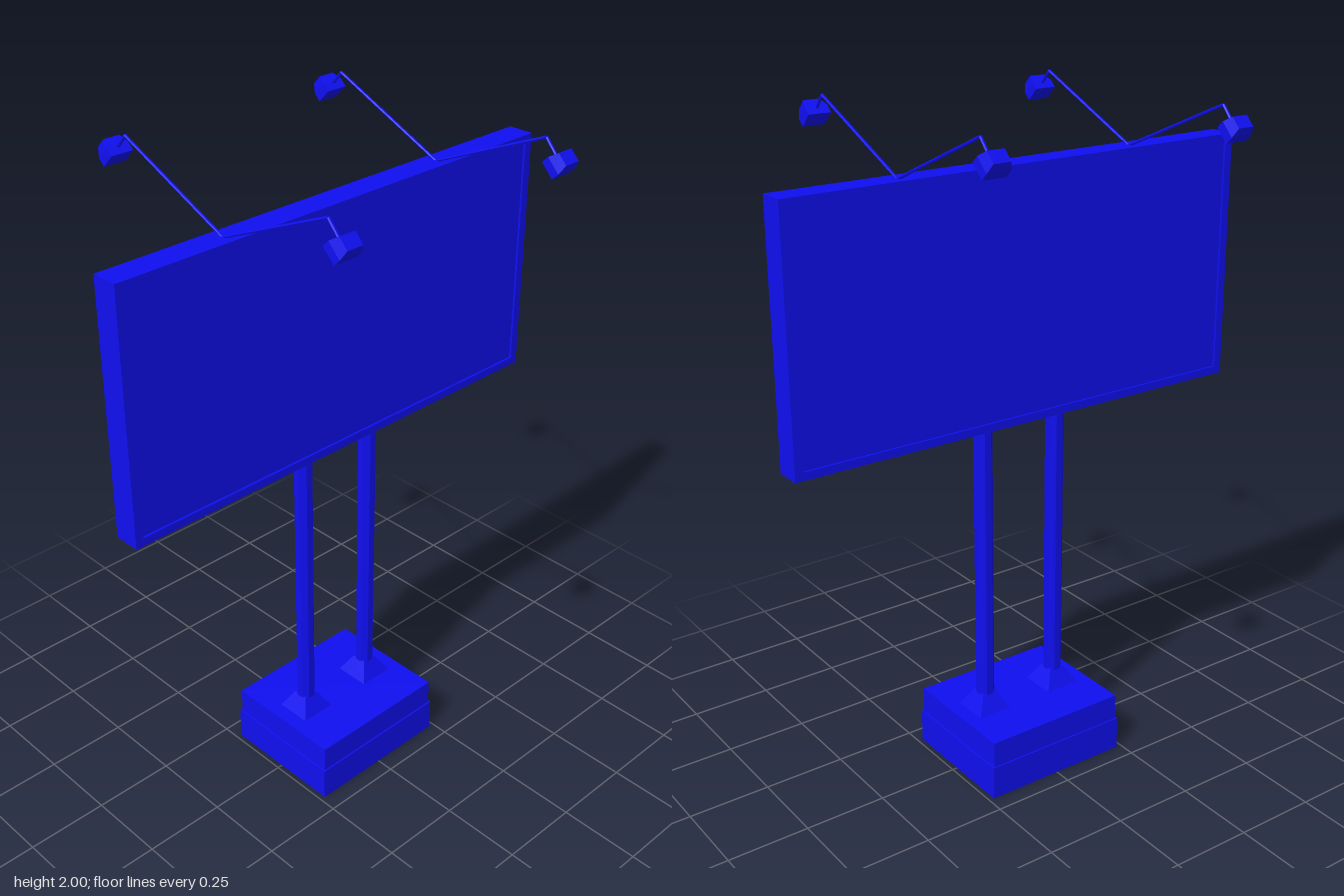
import * as THREE from 'three';

const material = new THREE.MeshStandardMaterial({ color: 0x0f0ff0, flatShading: true, side: THREE.DoubleSide });

function add(parent, name, geometry, x = 0, y = 0, z = 0) {
  const mesh = new THREE.Mesh(geometry, material);
  mesh.name = name;
  mesh.position.set(x, y, z);
  parent.add(mesh);
  return mesh;
}

// Four-sided solid from a profile of [half-size factor, height] pairs
function squareLathe(profile, halfX, halfZ) {
  const points = profile.map(([r, y]) => new THREE.Vector2(r * Math.SQRT2, y));
  return new THREE.LatheGeometry(points, 4, Math.PI / 4).scale(halfX, 1, halfZ);
}

function rectangle(Type, halfW, halfH) {
  return new Type([[-1, -1], [1, -1], [1, 1], [-1, 1]].map(([x, y]) => new THREE.Vector2(x * halfW, y * halfH)));
}

// Thin straight rod between two points
function rod(parent, name, from, to) {
  const direction = to.clone().sub(from);
  const mesh = add(parent, name, new THREE.CylinderGeometry(0.0045, 0.0045, direction.length(), 6));
  mesh.position.copy(from).lerp(to, 0.5);
  mesh.quaternion.setFromUnitVectors(new THREE.Vector3(0, 1, 0), direction.normalize());
}

// Bent arm carrying a floodlight that faces back to the board
function createLampArm() {
  const lampArm = new THREE.Group();
  lampArm.name = 'lampArm';
  const root = new THREE.Vector3(0, 1.832, 0);
  const elbow = new THREE.Vector3(0.376, 1.995, 0);
  const tip = new THREE.Vector3(0.416, 1.95, 0);
  rod(lampArm, 'armRod', root, elbow);
  rod(lampArm, 'armNeck', elbow, tip);
  const housing = squareLathe([[0, 0], [1, 0], [1, 0.026], [0.72, 0.054], [0, 0.054]], 0.026, 0.035);
  add(lampArm, 'lampHousing', housing, 0.412, 1.924, 0).rotation.z = -0.8;
  return lampArm;
}

export function createModel() {
  const model = new THREE.Group();
  model.name = 'billboard';

  // Stepped plinth, hollow and open underneath
  add(model, 'plinth', squareLathe([[1, 0], [1, 0.104], [0.975, 0.104], [0.975, 0.185], [0, 0.185]], 0.196, 0.234));

  // Posts with flared feet
  for (const z of [-0.127, 0.127]) {
    const post = new THREE.CylinderGeometry(0.028, 0.028, 0.92, 8).rotateY(Math.PI / 8);
    add(model, 'post', post, 0, 0.64, z);
    add(model, 'postFoot', squareLathe([[1, 0], [0.42, 0.055], [0, 0.055]], 0.055, 0.055), 0, 0.185, z);
  }

  // Board: frame around a panel recessed on both faces
  const board = new THREE.Group();
  board.name = 'board';
  board.position.y = 1.463;
  model.add(board);
  const outline = rectangle(THREE.Shape, 0.743, 0.371);
  outline.holes.push(rectangle(THREE.Path, 0.718, 0.347));
  const frame = new THREE.ExtrudeGeometry(outline, { depth: 0.08, bevelEnabled: false });
  add(board, 'boardFrame', frame.translate(0, 0, -0.04).rotateY(Math.PI / 2));
  add(board, 'boardPanel', new THREE.BoxGeometry(0.066, 0.7, 1.44));

  // Two pairs of lamps above the board
  for (const z of [-0.383, 0.383]) {
    for (const turn of [0, Math.PI]) {
      const lampArm = createLampArm();
      lampArm.position.z = z;
      lampArm.rotation.y = turn;
      model.add(lampArm);
    }
  }
  return model;
}
